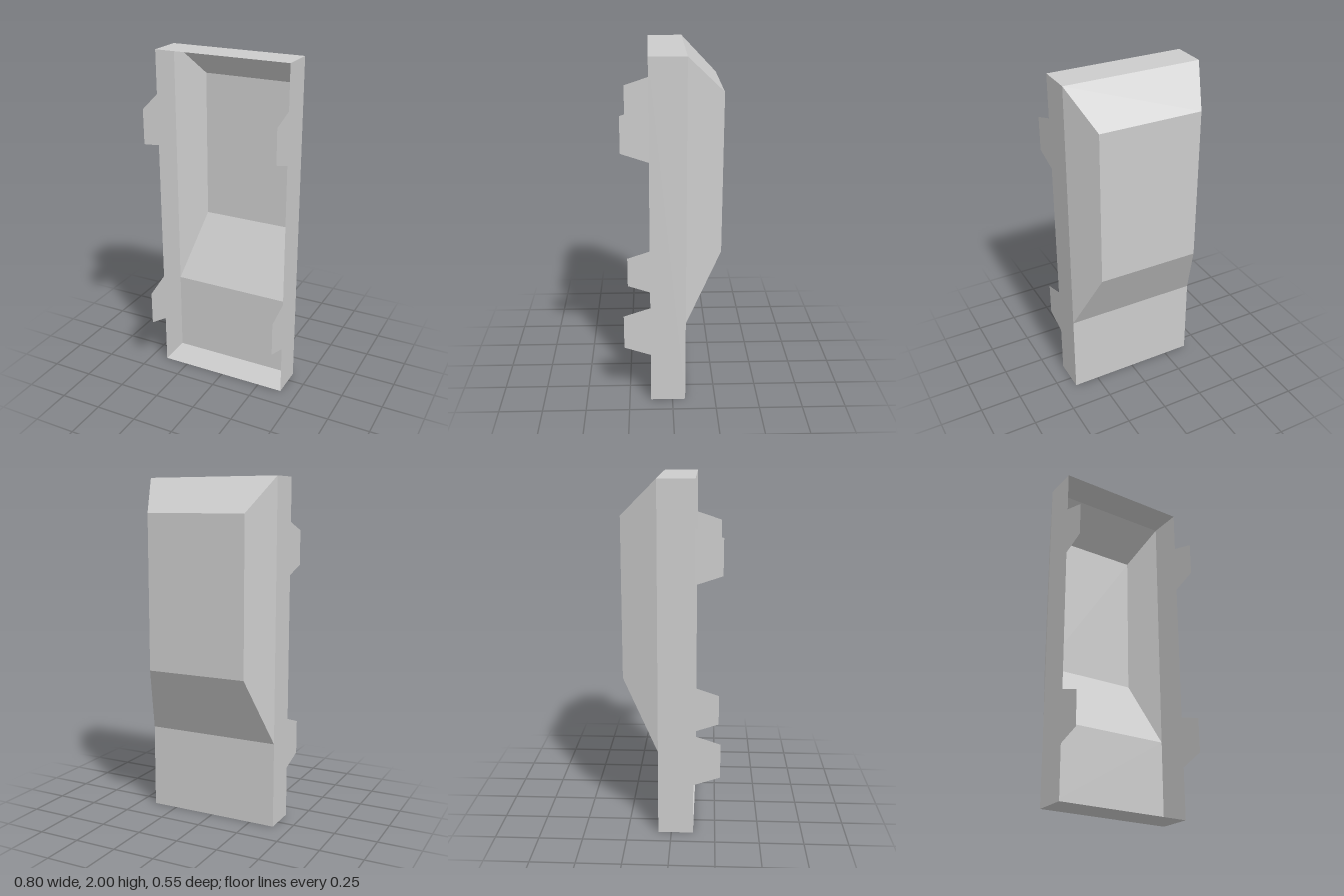
import * as THREE from 'three';

const material = new THREE.MeshStandardMaterial({
  color: 0xcccccc, flatShading: true, side: THREE.DoubleSide,
});

// One thin four-cornered panel, corners counter-clockwise from outside
function panel(name, corners) {
  const geometry = new THREE.BufferGeometry();
  geometry.setAttribute('position', new THREE.Float32BufferAttribute(corners.flat(), 3));
  geometry.setIndex([0, 1, 2, 0, 2, 3]);
  geometry.computeVertexNormals();
  const mesh = new THREE.Mesh(geometry, material);
  mesh.name = name;
  return mesh;
}

const mirror = ([x, y, z]) => [-x, y, z];

export function createModel() {
  const group = new THREE.Group();
  group.name = 'hollowPanel';

  const addPair = (name, corners) => group.add(
    panel('left' + name, corners),
    panel('right' + name, corners.map(mirror).reverse()),
  );

  // Left edge of the shell, from the top front lip round the back to the bottom lip
  const edge = [
    [0.4, 2, 0.125], [0.4, 2, -0.075], [0.3, 1.8, -0.275], [0.3, 0.9, -0.275],
    [0.4, 0.5, -0.075], [0.4, 0, -0.075], [0.4, 0, 0.125],
  ];
  const names = ['topWall', 'topBevel', 'upperBack', 'backSlope', 'lowerBack', 'bottomWall'];
  names.forEach((name, i) => {
    const a = edge[i], b = edge[i + 1];
    group.add(panel(name, [a, b, mirror(b), mirror(a)]));
  });

  // Side walls and the bevels beside the raised back
  addPair('Wall', [edge[0], edge[6], edge[5], edge[1]]);
  addPair('Bevel', [edge[1], edge[4], edge[3], edge[2]]);

  // Tapered tabs projecting from the front edges of the side walls
  for (const [name, y] of [['LowerTab', 0.45], ['UpperTab', 1.6]]) {
    addPair(name, [
      [0.4, y + 0.1, 0.275], [0.4, y - 0.1, 0.275],
      [0.4, y - 0.15, 0.125], [0.4, y + 0.15, 0.125],
    ]);
  }
  return group;
}
